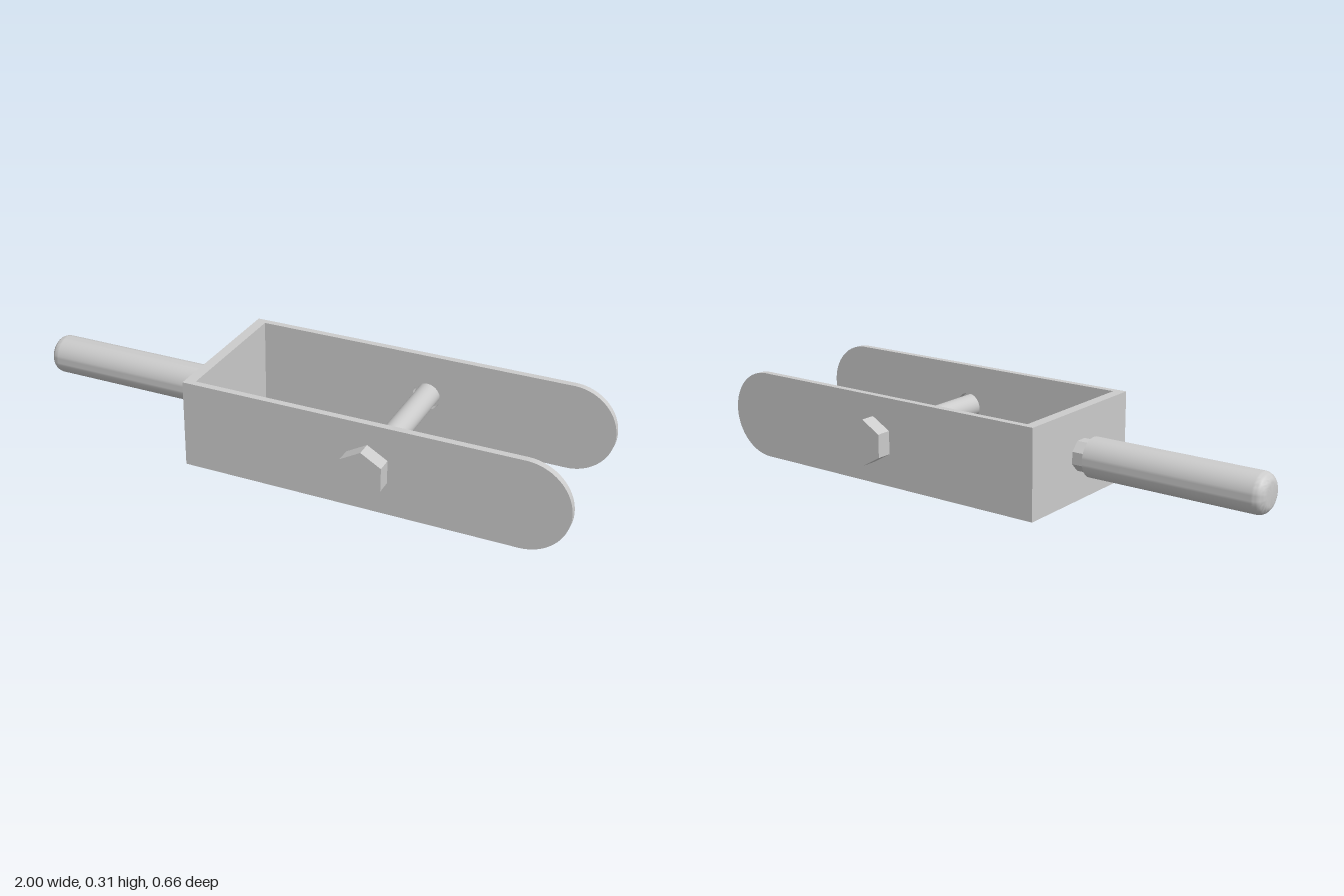
import * as THREE from 'three';
import { toCreasedNormals } from 'three/addons/utils/BufferGeometryUtils.js';

const MID = 0.156; // height of the common axis
const BOLT_X = 0.338;

export function createModel() {
  const group = new THREE.Group();
  const material = new THREE.MeshStandardMaterial({ color: 0xcccccc });
  const flat = new THREE.MeshStandardMaterial({ color: 0xcccccc, flatShading: true });

  const add = (name, geometry, x, y, z, mat = material) => {
    const mesh = new THREE.Mesh(geometry, mat);
    mesh.name = name;
    mesh.position.set(x, y, z);
    group.add(mesh);
    return mesh;
  };

  // Fork arm outline: square at the bridge, round at the free end, bolt hole
  const r = 0.155;
  const outline = new THREE.Shape();
  outline.moveTo(-0.32, -r);
  outline.lineTo(1 - r, -r);
  outline.absarc(1 - r, 0, r, -Math.PI / 2, Math.PI / 2, false);
  outline.lineTo(-0.32, r);
  outline.closePath();
  const hole = new THREE.Path();
  hole.absarc(BOLT_X, 0, 0.05, 0, Math.PI * 2, true);
  outline.holes.push(hole);
  const armGeometry = toCreasedNormals(
    new THREE.ExtrudeGeometry(outline, { depth: 0.024, bevelEnabled: false, curveSegments: 32 }), 0.6);

  // Hexagonal bolt head with a corner pointing up
  const headGeometry = new THREE.CylinderGeometry(0.081, 0.081, 0.054, 6);
  headGeometry.rotateX(Math.PI / 2);

  for (const [side, label] of [[1, 'front'], [-1, 'back']]) {
    add(label + 'ForkArm', armGeometry, 0, r, side > 0 ? 0.25 : -0.274);
    add(label + 'BoltHead', headGeometry, BOLT_X, MID, side * 0.301, flat);
  }

  // Bridge joining the two arms
  add('bridge', new THREE.BoxGeometry(0.037, 0.31, 0.5), -0.3015, r, 0);

  // Cross bolt shaft
  const shaft = new THREE.CylinderGeometry(0.041, 0.041, 0.548, 40);
  shaft.rotateX(Math.PI / 2);
  add('boltShaft', shaft, BOLT_X, MID, 0);

  // Faceted neck between bridge and handle
  const neck = new THREE.CylinderGeometry(0.055, 0.055, 0.06, 8);
  neck.rotateY(Math.PI / 8);
  neck.rotateZ(Math.PI / 2);
  add('neck', neck, -0.347, MID, 0, flat);

  // Round handle with a filleted tip
  const R = 0.068, L = 0.632, fillet = 0.036;
  const profile = [new THREE.Vector2(0, 0), new THREE.Vector2(R, 0)];
  for (let i = 0; i <= 8; i++) {
    const a = (i / 8) * Math.PI / 2;
    profile.push(new THREE.Vector2(R - fillet + fillet * Math.cos(a), L - fillet + fillet * Math.sin(a)));
  }
  profile.push(new THREE.Vector2(0, L));
  const handle = toCreasedNormals(new THREE.LatheGeometry(profile, 48), 0.6);
  handle.rotateZ(Math.PI / 2);
  add('handle', handle, -0.368, MID, 0);

  return group;
}
